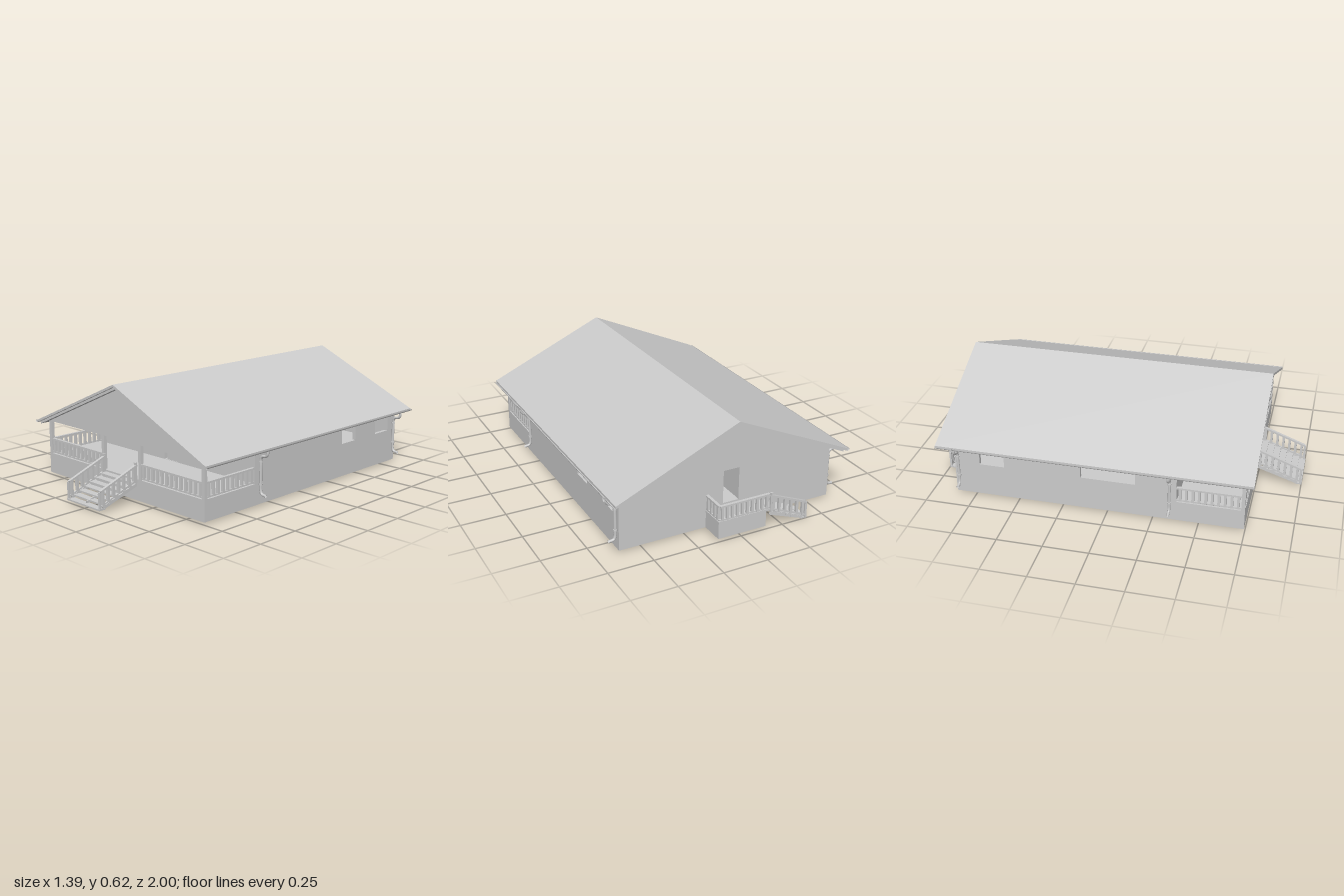
import * as THREE from 'three';

const mat = new THREE.MeshStandardMaterial({ color: 0xcccccc });
const thinMat = new THREE.MeshStandardMaterial({ color: 0xcccccc, side: THREE.DoubleSide });
const V = (x, y, z) => new THREE.Vector3(x, y, z);

const DECK = 0.126, EAVE = 0.315, HALF = 0.627, FRONT = 0.745, WALL_Z = 0.38, BACK = -0.86;
const RIDGE = 0.62, SLOPE = 0.445;

function mesh(parent, name, geo, material = mat) {
  const m = new THREE.Mesh(geo, material);
  m.name = name;
  parent.add(m);
  return m;
}

// Box given by its minimum and maximum on each axis
function box(parent, name, x0, x1, y0, y1, z0, z1) {
  const m = mesh(parent, name, new THREE.BoxGeometry(x1 - x0, y1 - y0, z1 - z0));
  m.position.set((x0 + x1) / 2, (y0 + y1) / 2, (z0 + z1) / 2);
  return m;
}

// Bar running from a to b
function beam(parent, name, a, b, w, h) {
  const m = new THREE.Mesh(new THREE.BoxGeometry(w, h, a.distanceTo(b)), mat);
  m.name = name;
  m.position.copy(a).lerp(b, 0.5);
  m.lookAt(b);
  parent.add(m);
}

// Balustrade whose base line runs from a to b, level or sloping
function railing(parent, name, a, b, height, pitch = 0.036) {
  const g = new THREE.Group();
  g.name = name;
  const up = (p, d) => p.clone().add(V(0, d, 0));
  beam(g, 'handrail', up(a, height - 0.005), up(b, height - 0.005), 0.016, 0.01);
  beam(g, 'bottomRail', up(a, 0.008), up(b, 0.008), 0.01, 0.008);
  const n = Math.max(2, Math.round(Math.hypot(b.x - a.x, b.z - a.z) / pitch));
  for (let i = 0; i < n; i++) {
    const p = a.clone().lerp(b, (i + 0.5) / n);
    box(g, 'baluster', p.x - 0.007, p.x + 0.007, p.y + 0.004, p.y + height - 0.005, p.z - 0.007, p.z + 0.007);
  }
  parent.add(g);
}

// Open-tread stairs descending along +z from the local origin
function stairs(name, width, run, rise, steps, railSides, railHeight) {
  const g = new THREE.Group();
  g.name = name;
  const w = width / 2, dz = run / steps, dy = rise / steps;
  for (let i = 0; i < steps; i++) {
    box(g, 'tread', -w, w, -dy * (i + 0.6) - 0.008, -dy * (i + 0.6), dz * i, dz * (i + 1) + 0.003);
  }
  for (const x of [-w + 0.005, 0, w - 0.005]) {
    beam(g, 'stringer', V(x, -0.028, 0), V(x, -rise + 0.008, run - 0.022), 0.008, 0.018);
  }
  for (const s of railSides) {
    const x = s * (w - 0.005);
    railing(g, 'stairRailing', V(x, -0.01, 0), V(x, -rise + 0.01, run - 0.008), railHeight);
    box(g, 'newelPost', x - 0.006, x + 0.006, -0.02, railHeight, 0, 0.012);
    box(g, 'newelPost', x - 0.006, x + 0.006, -rise, -rise + railHeight + 0.005, run - 0.012, run);
  }
  return g;
}

// Wall panel from u0 to u1 with rectangular openings [u0, u1, y0, y1]
function wall(parent, name, u0, u1, openings) {
  const rect = (P, a, b, c, d) => new P([[a, c], [b, c], [b, d], [a, d]].map(p => new THREE.Vector2(...p)));
  const s = rect(THREE.Shape, u0, u1, DECK, EAVE);
  for (const [a, b, c, d] of openings) s.holes.push(rect(THREE.Path, a, b, c, d));
  return mesh(parent, name, new THREE.ExtrudeGeometry(s, { depth: 0.02, bevelEnabled: false }));
}

// Prism along z from an outline in x and y
function prism(parent, name, pts, z0, z1) {
  const s = new THREE.Shape(pts.map(p => new THREE.Vector2(...p)));
  const m = mesh(parent, name, new THREE.ExtrudeGeometry(s, { depth: z1 - z0, bevelEnabled: false }));
  m.position.z = z0;
}

export function createModel() {
  const house = new THREE.Group();
  house.name = 'house';
  house.position.x = -0.003;

  // Foundation and porch deck
  box(house, 'foundation', -HALF, HALF, 0.01, DECK, BACK, FRONT);

  // Outer walls
  wall(house, 'frontWall', -HALF, HALF,
    [[-0.45, -0.315, 0.2, 0.305], [0.302, 0.437, 0.2, 0.305], [-0.058, 0.048, DECK + 0.001, EAVE - 0.001]])
    .position.z = WALL_Z - 0.02;
  wall(house, 'backWall', -HALF, HALF, [[-0.06, 0.033, DECK + 0.001, EAVE - 0.001]]).position.z = BACK;
  // On the side walls the panel coordinate is -z
  const right = wall(house, 'sideWall', -WALL_Z, -BACK, [[0.35, 0.475, 0.2, 0.302], [0.665, 0.79, 0.2, 0.302]]);
  right.rotation.y = Math.PI / 2;
  right.position.x = HALF - 0.02;
  const left = wall(house, 'sideWall', -WALL_Z, -BACK, [[-0.155, 0.145, 0.2, 0.302], [0.575, 0.715, 0.2, 0.302]]);
  left.rotation.y = Math.PI / 2;
  left.position.x = -HALF;

  // Hall partitions and front door
  for (const x of [-0.075, 0.05]) box(house, 'partition', x, x + 0.012, DECK, EAVE, BACK + 0.02, WALL_Z - 0.02);
  box(house, 'frontDoor', -0.038, 0.048, DECK, EAVE - 0.002, WALL_Z - 0.016, WALL_Z - 0.006);

  // Attic with gable ends, then the roof slabs
  const roofY = (x, d) => RIDGE - d - SLOPE * x;
  const chevron = (x, d0, d1) => [
    [-x, roofY(x, d0)], [-x, roofY(x, d1)], [0, roofY(0, d1)], [x, roofY(x, d1)], [x, roofY(x, d0)], [0, roofY(0, d0)]];
  prism(house, 'attic', [[-HALF, EAVE], [HALF, EAVE], [0, roofY(0, 0.024)]], BACK, FRONT);
  prism(house, 'roof', chevron(0.68, 0, 0.014), -0.945, 0.79);
  prism(house, 'roofBoards', chevron(0.665, 0.014, 0.028), -0.93, 0.775);

  // Gutters and downpipes
  for (const s of [-1, 1]) {
    const gutter = mesh(house, 'gutter',
      new THREE.CylinderGeometry(0.011, 0.011, 1.735, 10, 1, true, -Math.PI / 2, Math.PI), thinMat);
    gutter.rotation.x = Math.PI / 2;
    gutter.position.set(s * 0.682, 0.315, -0.0775);
    for (const z of [0.343, -0.838]) {
      const path = new THREE.CatmullRomCurve3([
        [0.682, 0.312], [0.681, 0.288], [0.67, 0.276], [0.648, 0.272], [0.637, 0.26], [0.636, 0.22],
        [0.636, 0.12], [0.637, 0.085], [0.645, 0.068], [0.674, 0.062]].map(([x, y]) => V(s * x, y, z)));
      mesh(house, 'downpipe', new THREE.TubeGeometry(path, 40, 0.008, 8), thinMat);
      for (const y of [0.24, 0.12]) {
        const clip = mesh(house, 'pipeClip', new THREE.CylinderGeometry(0.011, 0.011, 0.008, 10));
        clip.position.set(s * 0.636, y, z);
      }
    }
  }

  // Porch posts and railings
  for (const s of [-1, 1]) {
    for (const x of [0.617, 0.149]) {
      box(house, 'porchPost', s * x - 0.01, s * x + 0.01, DECK, EAVE, FRONT - 0.02, FRONT);
    }
    railing(house, 'frontRailing', V(s * 0.155, DECK, FRONT - 0.01), V(s * 0.607, DECK, FRONT - 0.01), 0.088);
    railing(house, 'sideRailing', V(s * 0.617, DECK, WALL_Z), V(s * 0.617, DECK, FRONT - 0.02), 0.088);
  }

  // Front stairs
  const front = stairs('frontStairs', 0.266, 0.255, 0.112, 7, [-1, 1], 0.092);
  front.position.set(-0.005, DECK, FRONT);
  house.add(front);

  // Back landing with its stairs running sideways
  box(house, 'backLanding', -0.15, 0.133, 0.01, 0.11, -0.99, BACK);
  box(house, 'landingEdge', -0.17, 0.136, 0.1, 0.112, -0.996, BACK);
  railing(house, 'landingRailing', V(-0.165, 0.11, -0.99), V(0.128, 0.11, -0.99), 0.09, 0.03);
  railing(house, 'landingRailing', V(0.128, 0.11, BACK), V(0.128, 0.11, -0.99), 0.09, 0.03);
  const back = stairs('backStairs', 0.125, 0.23, 0.112, 7, [-1], 0.09);
  back.rotation.y = -Math.PI / 2;
  back.position.set(-0.17, 0.112, -0.9345);
  house.add(back);

  const model = new THREE.Group();
  model.name = 'model';
  model.add(house);
  return model;
}
